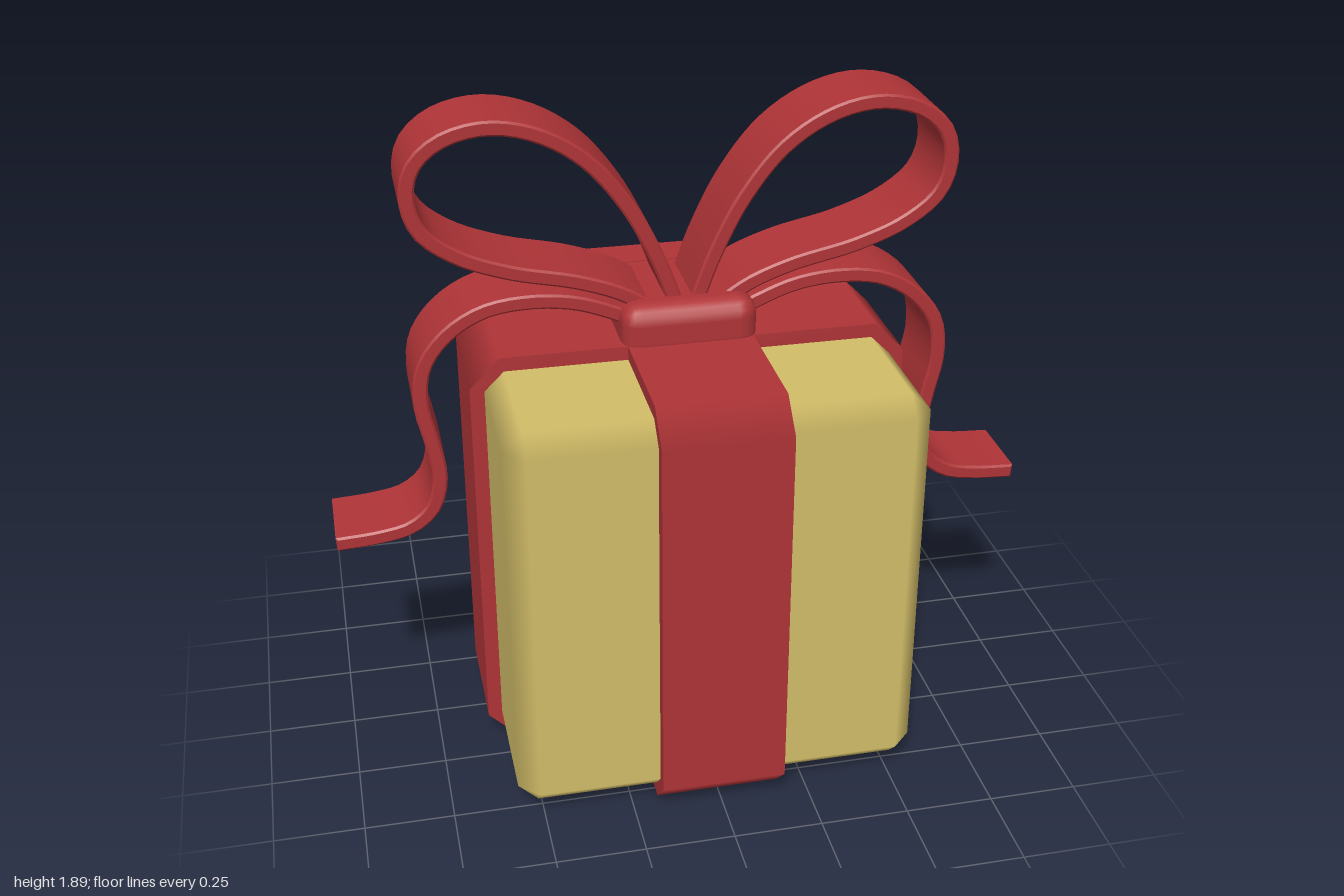
import * as THREE from 'three';
import { toCreasedNormals } from 'three/addons/utils/BufferGeometryUtils.js';
import { RoundedBoxGeometry } from 'three/addons/geometries/RoundedBoxGeometry.js';
import { ConvexGeometry } from 'three/addons/geometries/ConvexGeometry.js';

const MID_Y = 0.625;

// Keeps the main faces flat-shaded and blends the normals across the chamfers.
function blendChamfers(geo, half) {
  const p = geo.attributes.position, n = geo.attributes.normal;
  for (let i = 0; i < p.count; i++) {
    const c = [p.getX(i), p.getY(i), p.getZ(i)];
    const axis = half.findIndex((h, k) => Math.abs(Math.abs(c[k]) - h) < 1e-4);
    if (axis < 0 || (half.length === 2 && Math.abs(n.getZ(i)) > 0.9)) continue;
    const v = [0, 0, 0];
    v[axis] = Math.sign(c[axis]);
    n.setXYZ(i, ...v);
  }
  return geo;
}

// Box with every edge and corner cut.
function chamferedBox(half, cut) {
  const points = [];
  for (let axis = 0; axis < 3; axis++)
    for (const sx of [-1, 1]) for (const sy of [-1, 1]) for (const sz of [-1, 1]) {
      const s = [sx, sy, sz];
      points.push(new THREE.Vector3(...half.map((h, k) => s[k] * (k === axis ? h : h - cut))));
    }
  return blendChamfers(new ConvexGeometry(points), half);
}

// Octagonal slab that wraps around the box.
function bandGeometry(X, Y, width, cut) {
  const shape = new THREE.Shape([
    [X, -Y + cut], [X, Y - cut], [X - cut, Y], [-X + cut, Y],
    [-X, Y - cut], [-X, -Y + cut], [-X + cut, -Y], [X - cut, -Y],
  ].map(([x, y]) => new THREE.Vector2(x, y)));
  const geo = new THREE.ExtrudeGeometry(shape, { depth: width, bevelEnabled: false });
  geo.translate(0, 0, -width / 2);
  return blendChamfers(geo, [X, Y]);
}

// Flat ribbon following a curve in the xy plane.
function ribbonGeometry(path, steps) {
  const thickness = 0.042, width = 0.235, bevel = 0.006;
  const curve = new THREE.CatmullRomCurve3(path.map(([x, y]) => new THREE.Vector3(x, y, 0)));
  const outer = [], inner = [];
  for (let i = 0; i <= steps; i++) {
    const p = curve.getPointAt(i / steps), t = curve.getTangentAt(i / steps);
    const o = thickness / 2 - bevel;
    outer.push(new THREE.Vector2(p.x - t.y * o, p.y + t.x * o));
    inner.unshift(new THREE.Vector2(p.x + t.y * o, p.y - t.x * o));
  }
  const geo = new THREE.ExtrudeGeometry(new THREE.Shape([...outer, ...inner]), {
    depth: width - 2 * bevel, bevelSize: bevel, bevelThickness: bevel, bevelSegments: 1,
  });
  geo.translate(0, 0, -width / 2 + bevel);
  return toCreasedNormals(geo, 0.7);
}

export function createModel() {
  const model = new THREE.Group();
  model.name = 'giftBox';

  const gold = new THREE.MeshStandardMaterial({ color: 0xd2bd68 });
  gold.name = 'gold paper';
  const red = new THREE.MeshStandardMaterial({ color: 0xaf3437 });
  red.name = 'red ribbon';

  const add = (parent, name, geo, material, y = 0) => {
    const mesh = new THREE.Mesh(geo, material);
    mesh.name = name;
    mesh.position.y = y;
    parent.add(mesh);
    return mesh;
  };

  // Wrapped box
  add(model, 'box', chamferedBox([0.57, 0.585, 0.58], 0.055), gold, MID_Y);

  // Two crossing bands
  add(model, 'sideBand', bandGeometry(0.61, 0.625, 0.345, 0.085), red, MID_Y);
  add(model, 'frontBand', bandGeometry(0.62, 0.625, 0.35, 0.085), red, MID_Y).rotation.y = Math.PI / 2;

  // Knot
  add(model, 'knot', new RoundedBoxGeometry(0.38, 0.16, 0.38, 2, 0.055), red, 1.282);

  // Bow: one loop and one tail on each side
  const loop = ribbonGeometry([
    [0.025, 1.33], [0.08, 1.475], [0.16, 1.63], [0.27, 1.765], [0.40, 1.845], [0.53, 1.87],
    [0.65, 1.84], [0.72, 1.775], [0.738, 1.69], [0.71, 1.6], [0.62, 1.525], [0.48, 1.468],
    [0.30, 1.425], [0.18, 1.38], [0.10, 1.33],
  ], 56);
  const tail = ribbonGeometry([
    [0.11, 1.28], [0.2, 1.325], [0.31, 1.365], [0.44, 1.378], [0.56, 1.36], [0.66, 1.3],
    [0.725, 1.21], [0.738, 1.1], [0.715, 0.98], [0.70, 0.87], [0.725, 0.775], [0.79, 0.72],
    [0.88, 0.7], [0.994, 0.692],
  ], 44);
  for (const [side, angle] of [['left', 0], ['right', Math.PI]]) {
    const bow = new THREE.Group();
    bow.name = side + 'Bow';
    bow.rotation.y = angle;
    add(bow, side + 'Loop', loop, red);
    add(bow, side + 'Tail', tail, red);
    model.add(bow);
  }
  return model;
}
